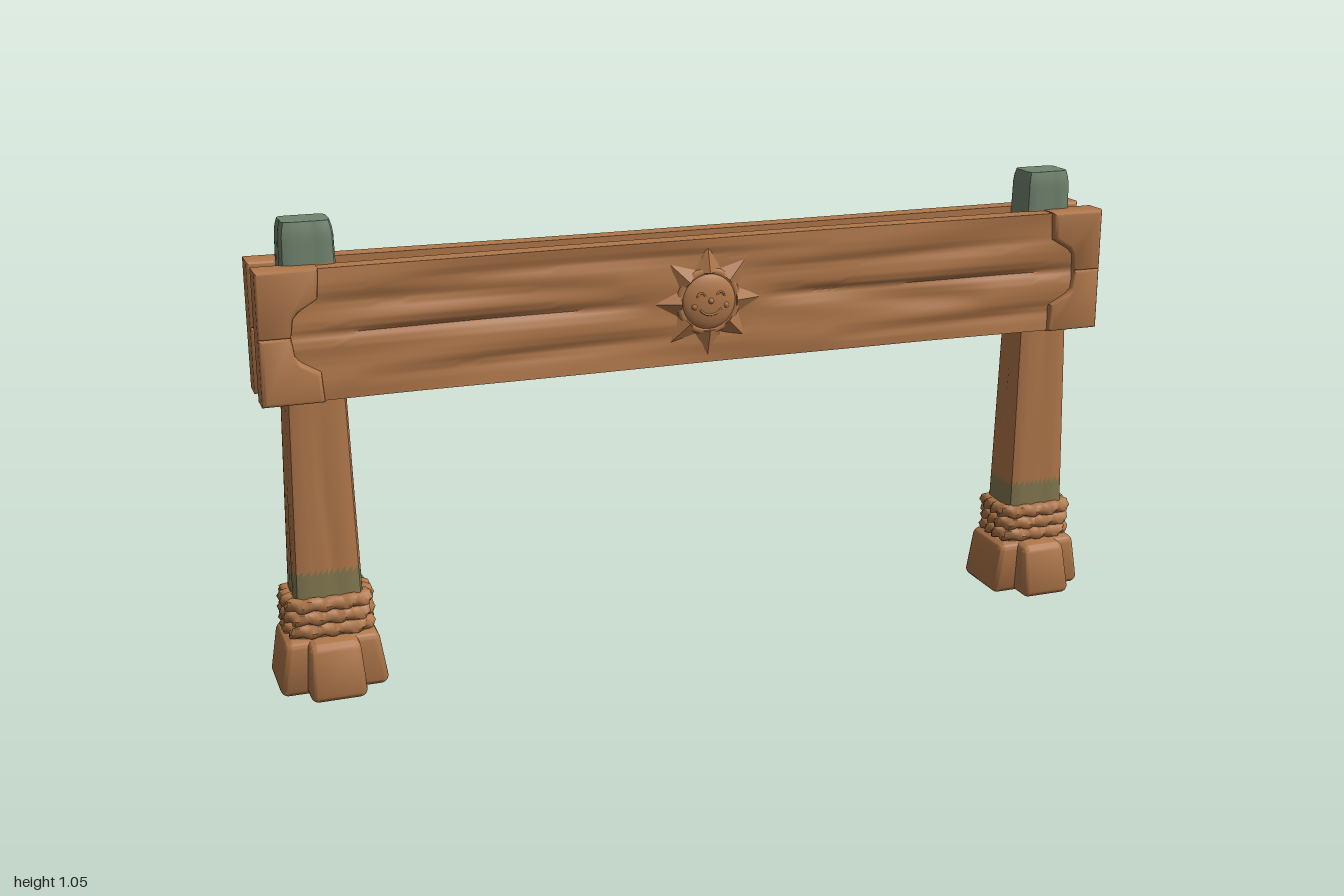
import * as THREE from 'three';
import { toCreasedNormals } from 'three/addons/utils/BufferGeometryUtils.js';
import { RoundedBoxGeometry } from 'three/addons/geometries/RoundedBoxGeometry.js';

const wood = new THREE.MeshStandardMaterial({ color: 0xb0774a });
wood.name = 'brown wood';
const moss = new THREE.MeshStandardMaterial({ color: 0x71836f });
moss.name = 'grey green paint';
const olive = new THREE.MeshStandardMaterial({ color: 0x82774f });
olive.name = 'worn olive paint';

const POST_X = 0.88, MID_Y = 0.815;

function mesh(name, geometry, material = wood) {
  const m = new THREE.Mesh(geometry, material);
  m.name = name;
  return m;
}

// Move every vertex by a rule, then rebuild the normals
function warp(geometry, rule, crease = 0.7) {
  const p = geometry.attributes.position, v = new THREE.Vector3();
  for (let i = 0; i < p.count; i++) {
    rule(v.fromBufferAttribute(p, i));
    p.setXYZ(i, v.x, v.y, v.z);
  }
  return toCreasedNormals(geometry, crease);
}

// Tapered square post with carved cracks, painted by height
function makePost() {
  const y0 = 0.12, h = 0.93;
  const square = (c, s) => Math.pow(Math.abs(c) ** 7 + Math.abs(s) ** 7, -1 / 7);
  const geo = warp(new THREE.CylinderGeometry(1, 1, h, 40, 62), v => {
    const y = v.y + h / 2 + y0, t = (y - 0.2) / 0.85;
    const r = Math.hypot(v.x, v.z), a = Math.atan2(v.z, v.x);
    const c = Math.cos(a), s = Math.sin(a);
    const crack = Math.max(0, Math.cos(4 * a + 0.5 + Math.sin(y * 9) * 0.4)) ** 10;
    const edge = y > 1.04 ? 0.9 : y > 1.025 ? 0.97 : 1;
    const k = r * square(c, s) * edge * (1 - 0.07 * crack * (0.5 + 0.5 * Math.sin(y * 8 + a)));
    v.set(c * k * (0.077 - 0.02 * t), y, s * k * (0.06 - 0.016 * t));
  }, 0.6);
  geo.clearGroups();
  const p = geo.attributes.position;
  const mean = (i, axis) => (p.array[i * 3 + axis] + p.array[i * 3 + 3 + axis] + p.array[i * 3 + 6 + axis]) / 3;
  for (let i = 0; i < p.count; i += 3) {
    const x = mean(i, 0), y = mean(i, 1), z = mean(i, 2);
    const side = Math.abs(x) > 0.045 && Math.abs(z) < 0.03;
    const isMoss = y > 0.96 || (side && y > 0.88 + Math.abs(z) * 1.5);
    const isOlive = y < 0.278 || (side && y > 0.66 + Math.abs(z) * 0.8 && y < 0.725);
    geo.addGroup(i, 3, isMoss ? 1 : isOlive ? 2 : 0);
  }
  return mesh('post', geo, [wood, moss, olive]);
}

// One lumpy rope turn around the bottom of the post
function makeRope(y, turn) {
  const pts = [];
  for (let i = 0; i < 24; i++) {
    const a = i / 24 * Math.PI * 2, c = Math.cos(a), s = Math.sin(a);
    const k = Math.pow(Math.abs(c) ** 5 + Math.abs(s) ** 5, -1 / 5);
    pts.push(new THREE.Vector3(c * k * 0.082, y, s * k * 0.06));
  }
  const path = new THREE.CatmullRomCurve3(pts, true);
  const geo = new THREE.TubeGeometry(path, 96, 0.017, 8, true);
  const rule = v => {
    const a = Math.atan2(v.z / 0.06, v.x / 0.082);
    const bump = 1 + 0.06 * Math.sin(a * 14 + turn * 2 + (v.y - y) * 90);
    v.set(v.x * bump, y + (v.y - y) * (1 + (bump - 1) * 2), v.z * bump);
  };
  return mesh('rope', warp(geo, rule, 1.2));
}

// Foot of crossed, rounded stones, narrower at the top
function footBlock(w, d, topW, topD) {
  const h = 0.128;
  return mesh('footBlock', warp(new RoundedBoxGeometry(w, h, d, 4, 0.018), v => {
    const t = Math.max(0, (v.y + h / 2) / h - 0.25) / 0.75;
    v.x *= 1 + (topW / w - 1) * t;
    v.z *= 1 + (topD / d - 1) * t;
    v.y += h / 2;
  }));
}

function makeLeg() {
  const leg = new THREE.Group();
  leg.name = 'leg';
  leg.add(makePost(), footBlock(0.24, 0.16, 0.205, 0.15), footBlock(0.125, 0.27, 0.11, 0.215));
  for (let i = 0; i < 3; i++) leg.add(makeRope(0.145 + i * 0.03, i));
  return leg;
}

// Cracks in the board: start x, end x, y, slope, depth, half width
const cracks = [
  [-1, -0.14, 0, 0, 0.012, 0.012], [0.14, 1, 0, 0, 0.012, 0.012],
  [-0.92, -0.2, 0.06, -0.02, 0.008, 0.018], [0.1, 0.9, 0.07, 0.02, 0.005, 0.012],
  [0.08, 0.7, -0.02, -0.06, 0.01, 0.025], [-0.8, 0.1, -0.085, 0.03, 0.007, 0.016],
  [-0.7, 0.3, 0.105, 0, 0.005, 0.012], [0.3, 0.95, -0.1, 0.02, 0.007, 0.015],
];

function makeBoard() {
  const geo = new THREE.BoxGeometry(1.95, 0.285, 0.044, 90, 36, 1);
  return mesh('board', warp(geo, v => {
    const bow = 0.05 + 0.012 * v.x * v.x;
    if (v.z > 0) {
      for (const [x0, x1, y, slope, depth, width] of cracks) {
        const t = (v.x - x0) / (x1 - x0);
        if (t < 0 || t > 1) continue;
        const d = (v.y - y - slope * (t - 0.5)) / width;
        v.z -= depth * Math.sin(Math.PI * t) ** 0.5 * Math.exp(-d * d);
      }
      v.z += 0.002 * Math.sin(v.y * 60 + Math.sin(v.x * 5) * 2);
    }
    v.z += bow;
    v.y += MID_Y;
  }, 0.8));
}

// Rounded, notched cap on one corner of the board
function makeCap(sx, sy) {
  const outline = [[0.99, 0.01], [0.94, 0.01], [0.935, 0.045], [0.92, 0.062],
    [0.882, 0.085], [0.878, 0.135], [0.99, 0.135]];
  const shape = new THREE.Shape(outline.map(([x, y]) => new THREE.Vector2(x * sx, y * sy)));
  const geo = new THREE.ExtrudeGeometry(shape, {
    depth: 0.053, bevelThickness: 0.011, bevelSize: 0.01, bevelSegments: 3 });
  const cap = mesh('boardCap', toCreasedNormals(geo, 0.9));
  cap.position.set(0, MID_Y, 0.031);
  return cap;
}

// Carved smiling sun
function makeSun() {
  const sun = new THREE.Group();
  sun.name = 'sun';
  const add = (name, geo, x, y, z) => {
    const m = mesh(name, geo);
    m.position.set(x, y, z);
    sun.add(m);
    return m;
  };
  const face = new THREE.SphereGeometry(0.066, 32, 16);
  face.scale(1, 1, 0.3);
  add('sunFace', face, 0, 0, 0.002);
  add('sunRim', new THREE.TorusGeometry(0.068, 0.01, 8, 40), 0, 0, 0);
  const rayGeo = new THREE.ConeGeometry(0.034, 0.06, 4).toNonIndexed();
  rayGeo.computeVertexNormals();
  rayGeo.scale(1, 1, 0.5);
  for (let i = 0; i < 8; i++) {
    const a = i * Math.PI / 4;
    add('sunRay', rayGeo, -Math.sin(a) * 0.096, Math.cos(a) * 0.096, 0).rotation.z = a;
  }
  const smile = add('smile', new THREE.TorusGeometry(0.03, 0.003, 6, 16, 2), 0, 0.002, 0.019);
  smile.rotation.z = -Math.PI / 2 - 1;
  for (const s of [-1, 1]) {
    add('eye', new THREE.TorusGeometry(0.009, 0.0025, 6, 10, Math.PI), s * 0.023, 0.014, 0.0195);
    add('cheek', new THREE.SphereGeometry(0.009, 10, 8), s * 0.037, -0.008, 0.012);
  }
  const nose = new THREE.SphereGeometry(0.007, 10, 8);
  add('nose', nose, 0, 0.004, 0.02);
  sun.position.set(0, MID_Y, 0.071);
  return sun;
}

function makePanel() {
  const panel = new THREE.Group();
  panel.name = 'panel';
  panel.add(makeBoard(), makeSun());
  for (const sx of [-1, 1]) for (const sy of [-1, 1]) panel.add(makeCap(sx, sy));
  return panel;
}

export function createModel() {
  const model = new THREE.Group();
  model.name = 'signFrame';
  for (const turn of [0, Math.PI]) {
    const leg = makeLeg(), panel = makePanel();
    leg.position.x = POST_X * Math.cos(turn);
    leg.rotation.y = panel.rotation.y = turn;
    model.add(leg, panel);
  }
  return model;
}
